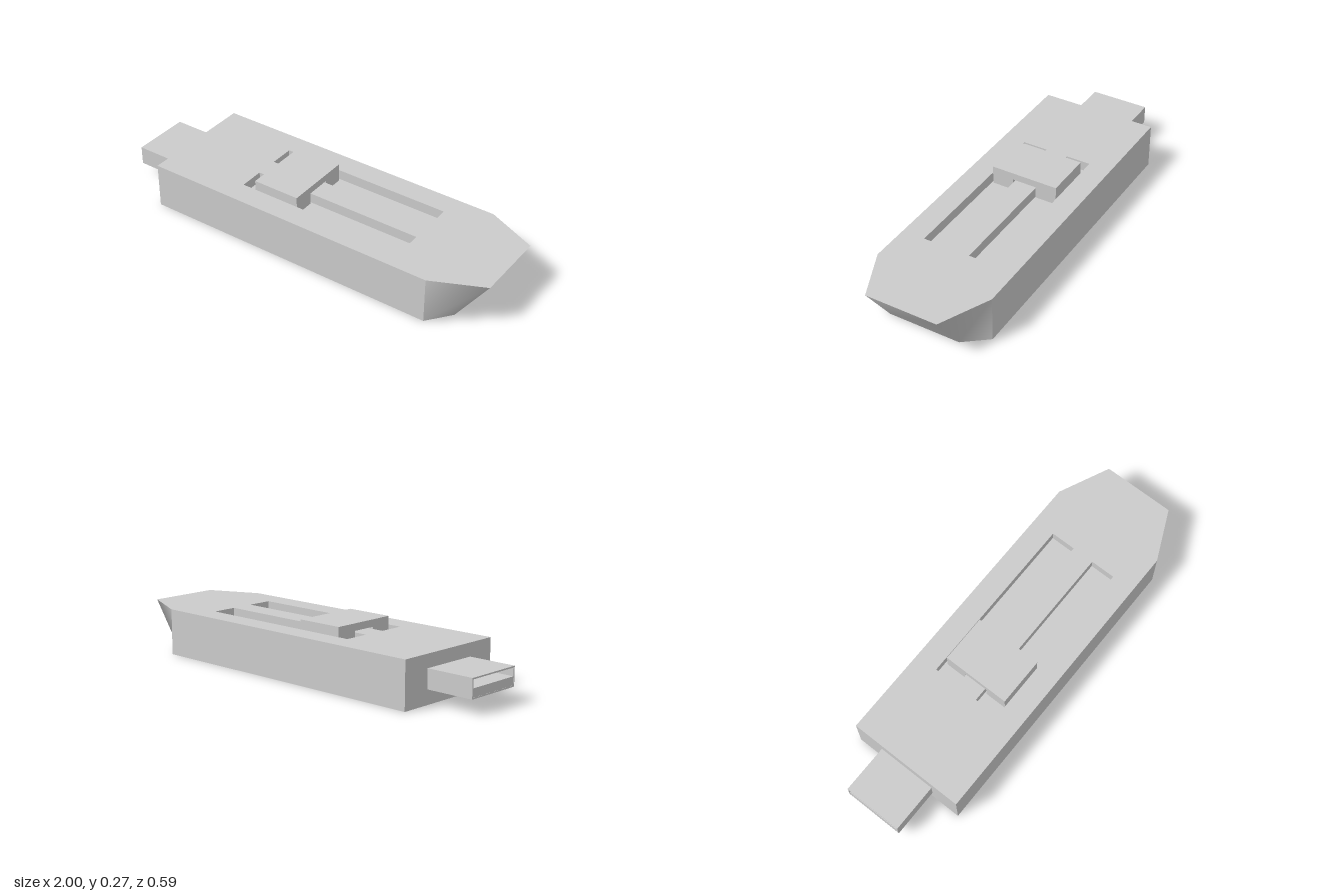
import * as THREE from 'three';

const H = 0.227, SLOT_DEPTH = 0.05;
const material = new THREE.MeshStandardMaterial({ color: 0xcccccc });

const toShape = pts => new THREE.Shape(pts.map(p => new THREE.Vector2(...p)));
const rect = (x0, y0, x1, y1) => [[x0, y0], [x1, y0], [x1, y1], [x0, y1]];

function add(parent, name, geometry) {
  const mesh = new THREE.Mesh(geometry, material);
  mesh.name = name;
  parent.add(mesh);
  return mesh;
}

// Smooth strip joining a lower and an upper plan line ([x, -z] points)
function wall(lower, upper, y0, y1) {
  const pos = [], index = [];
  lower.forEach(([x, s], i) => {
    pos.push(x, y0, -s, upper[i][0], y1, -upper[i][1]);
    if (i) {
      const a = 2 * i - 2;
      index.push(a, a + 2, a + 3, a, a + 3, a + 1);
    }
  });
  const g = new THREE.BufferGeometry();
  g.setAttribute('position', new THREE.Float32BufferAttribute(pos, 3));
  g.setIndex(index);
  g.computeVertexNormals();
  return g;
}

// Flat plan face at height y, facing up or down
function cap(shape, y, up = true) {
  return new THREE.ShapeGeometry(shape).rotateX(up ? -Math.PI / 2 : Math.PI / 2).translate(0, y, 0);
}

// Cross-section in (-z, y) extruded along x
function alongX(shape, x0, length) {
  return new THREE.ExtrudeGeometry(shape, { depth: length, bevelEnabled: false })
    .rotateY(Math.PI / 2).translate(x0, 0, 0);
}

export function createModel() {
  const model = new THREE.Group();

  // Body with a tapered, undercut nose
  const body = new THREE.Group();
  body.name = 'body';
  model.add(body);
  const rear = -0.76, shoulder = 0.75, w = 0.294, tipW = 0.18;
  const nose = tip => [[shoulder, -w], [tip, -tipW], [tip, tipW], [shoulder, w]];
  const outline = tip => [[rear, -w], ...nose(tip), [rear, w]];
  const low = nose(0.84), high = nose(1);

  add(body, 'nose', wall(low, high, 0, H));
  const corners = [[shoulder, w], [rear, w], [rear, -w], [shoulder, -w]];
  ['backWall', 'rearWall', 'frontWall'].forEach((name, i) => {
    const edge = corners.slice(i, i + 2);
    add(body, name, wall(edge, edge, 0, H));
  });
  add(body, 'bottom', cap(toShape(outline(0.84)), 0, false));

  // Top face with two guide slots
  const top = toShape(outline(1));
  for (const side of [-1, 1]) {
    const c = side * 0.118;
    const slot = rect(-0.325, c - 0.062, 0.555, c + 0.062);
    top.holes.push(new THREE.Path(slot.map(p => new THREE.Vector2(...p))));
    add(body, 'slotFloor', cap(toShape(slot), H - SLOT_DEPTH));
    slot.forEach((p, i) => {
      const edge = [slot[(i + 1) % 4], p];
      add(body, 'slotWall', wall(edge, edge, H - SLOT_DEPTH, H));
    });
  }
  add(body, 'top', cap(top, H));

  // Slider bridging the slots, with a leg in each
  const s = 0.17, leg = 0.062, foot = H - SLOT_DEPTH, under = 0.235, crown = 0.27;
  const slider = toShape([
    [-s, foot], [-leg, foot], [-leg, under], [leg, under],
    [leg, foot], [s, foot], [s, crown], [-s, crown],
  ]);
  add(model, 'slider', alongX(slider, -0.26, 0.24)).position.z = 0.003;

  // Hollow plug shell with a contact tongue in its lower half
  const t = 0.007, pw = 0.147, p0 = 0.07, p1 = 0.163;
  const shell = toShape(rect(-pw, p0, pw, p1));
  shell.holes.push(toShape(rect(-pw + t, p0 + t, pw - t, p1 - t)));
  add(model, 'plugShell', alongX(shell, -1, 0.24));
  add(model, 'plugTongue', alongX(toShape(rect(-pw + t, p0 + t, pw - t, 0.117)), -0.999, 0.239));

  return model;
}
